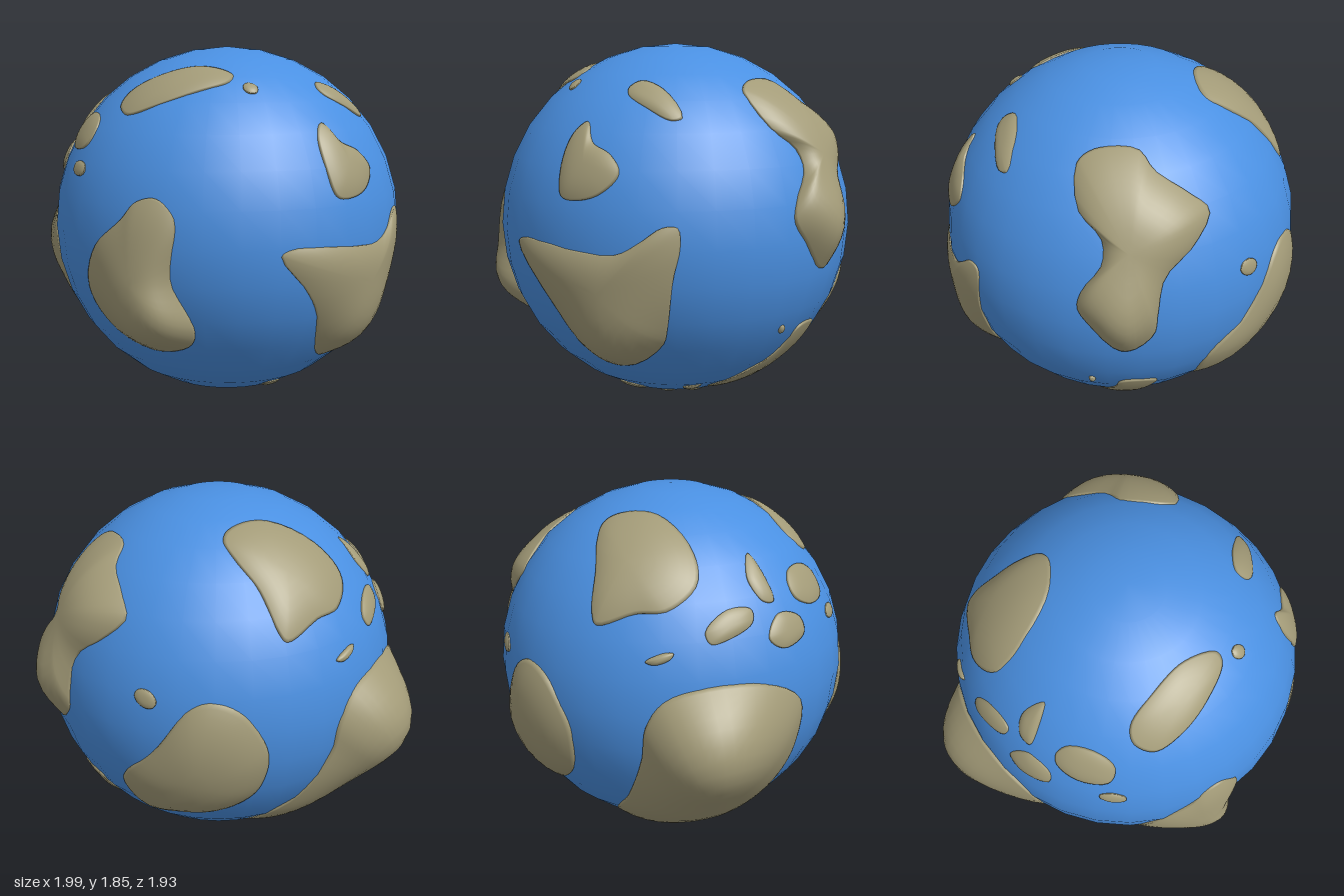
import * as THREE from 'three';

const R = 0.925;
const CENTER = new THREE.Vector3(0.07, 0.93, 0.005);
const V = (x, y, z) => new THREE.Vector3(x, y, z);

// Point on the unit globe seen at (u, v) from a given azimuth and elevation
function fromAngle(az, el, u, v) {
  const a = THREE.MathUtils.degToRad(az), e = THREE.MathUtils.degToRad(el);
  const right = V(Math.cos(a), 0, -Math.sin(a));
  const up = V(-Math.sin(e) * Math.sin(a), Math.cos(e), -Math.sin(e) * Math.cos(a));
  const w = Math.sqrt(Math.max(0, R * R - u * u - v * v));
  const out = V(0, 0, 0).crossVectors(right, up).multiplyScalar(w);
  return out.addScaledVector(right, u).addScaledVector(up, v).normalize();
}

// Ways of placing a flat outline on the globe
const place = {
  front: (x, y) => fromAngle(0, 0, x - CENTER.x, y - CENTER.y),
  right: (z, y) => fromAngle(90, 0, CENTER.z - z, y - CENTER.y),
  top: (x, z) => fromAngle(0, 90, x - CENTER.x, CENTER.z - z),
  back: (u, v) => fromAngle(215, 25, u, v),
  low: (u, v) => fromAngle(145, -25, u, v),
};

function outline(side, p) {
  const dirs = [];
  for (let i = 0; i < p.length; i += 2) dirs.push(place[side](p[i], p[i + 1]));
  return dirs;
}

function oval(side, u, v, ru, rv, turn = 0) {
  const p = [];
  for (let i = 0; i < 8; i++) {
    const a = (i / 8) * Math.PI * 2, x = ru * Math.cos(a), y = rv * Math.sin(a);
    p.push(u + x * Math.cos(turn) - y * Math.sin(turn), v + x * Math.sin(turn) + y * Math.cos(turn));
  }
  return outline(side, p);
}

// Raised land: rings shrinking from the shore to the middle; bumps are [direction, height, spread]
function landGeometry(dirs, height, bumps = []) {
  const n = dirs.length > 8 ? 56 : 28, rings = bumps.length ? 12 : 7;
  const mid = dirs.reduce((s, d) => s.add(d), V(0, 0, 0)).normalize();
  const curve = new THREE.CatmullRomCurve3(dirs, true, 'centripetal');
  const shore = [];
  for (let i = 0; i < n; i++) shore.push(curve.getPoint(i / n).normalize());
  const turn = V(0, 0, 0);
  shore.forEach((p, i) => turn.add(V(0, 0, 0).crossVectors(p, shore[(i + 1) % n])));
  if (turn.dot(mid) < 0) shore.reverse();

  const pos = [], index = [];
  const lift = (d, t) => {
    let h = height;
    for (const [b, a, s] of bumps) h += a * Math.exp(-((d.angleTo(b) / s) ** 2));
    return R + h * (1 - t ** 3);
  };
  const add = (d, r) => pos.push(d.x * r, d.y * r, d.z * r);
  shore.forEach((d) => add(d, R * 0.975));
  for (let k = 0; k < rings; k++) {
    const t = 0.99 * (1 - (k / rings) ** 1.5);
    for (const s of shore) {
      const d = mid.clone().lerp(s, t).normalize();
      add(d, lift(d, t));
    }
  }
  add(mid, lift(mid, 0));
  for (let k = 0; k <= rings; k++) {
    for (let i = 0; i < n; i++) {
      const j = (i + 1) % n, a = k * n + i, b = k * n + j;
      if (k === rings) index.push(a, b, (rings + 1) * n);
      else index.push(a, b, b + n, a, b + n, a + n);
    }
  }
  const g = new THREE.BufferGeometry();
  g.setAttribute('position', new THREE.Float32BufferAttribute(pos, 3));
  g.setIndex(index);
  g.computeVertexNormals();
  return g;
}

export function createModel() {
  const globe = new THREE.Group();
  globe.name = 'globe';
  globe.position.copy(CENTER);
  const water = new THREE.MeshStandardMaterial({ color: 0x4a90e2 });
  const earth = new THREE.MeshStandardMaterial({ color: 0xa39b78 });

  const ocean = new THREE.Mesh(new THREE.SphereGeometry(R, 32, 16), water);
  ocean.name = 'ocean';
  globe.add(ocean);

  const land = (name, dirs, height, bumps) => {
    const m = new THREE.Mesh(landGeometry(dirs, height, bumps), earth);
    m.name = name;
    globe.add(m);
  };
  const bump = (x, y, z, a, s) => [V(x, y, z).normalize(), a, s];

  // Continents
  land('frontContinent', outline('front', [-0.15, 1.16, -0.25, 1.14, -0.33, 1.05, -0.48, 0.9, -0.53, 0.67,
    -0.4, 0.47, -0.18, 0.38, 0, 0.44, 0.02, 0.54, -0.08, 0.78, -0.06, 1.07]), 0.035,
  [bump(-0.24, -0.38, 0.92, 0.1, 0.25)]);
  land('rightContinent', outline('right', [0.86, 0.9, 0.84, 0.93, 0.75, 0.93, 0.6, 0.91, 0.45, 0.91, 0.35, 0.97,
    0.25, 1.04, 0.18, 1.04, 0.17, 0.95, 0.2, 0.8, 0.21, 0.55, 0.22, 0.46, 0.35, 0.31, 0.45, 0.31,
    0.55, 0.38, 0.7, 0.6, 0.78, 0.73]), 0.03, [bump(0.65, -0.45, 0.4, 0.06, 0.25)]);
  land('backRightContinent', outline('right', [-0.2, 1.62, -0.22, 1.66, -0.28, 1.68, -0.4, 1.67, -0.5, 1.6,
    -0.65, 1.5, -0.73, 1.42, -0.74, 1.3, -0.69, 1.18, -0.69, 1.0, -0.68, 0.88, -0.6, 0.78, -0.55, 0.78,
    -0.45, 0.93, -0.39, 1.03, -0.4, 1.12, -0.46, 1.25, -0.43, 1.36, -0.3, 1.46]), 0.04,
  [bump(0.8, 0.03, -0.56, 0.09, 0.22), bump(0.5, 0.5, -0.65, 0.03, 0.25)]);
  land('leftContinent', [V(-0.91, 0.13, -0.02), V(-0.86, 0.155, -0.31), V(-0.77, 0.09, -0.5), V(-0.72, -0.04, -0.57),
    V(-0.68, -0.22, -0.57), V(-0.53, -0.5, -0.57), V(-0.31, -0.7, -0.52), V(-0.2, -0.84, -0.33),
    V(-0.42, -0.82, 0), V(-0.52, -0.76, 0.06), V(-0.67, -0.61, 0.14), V(-0.79, -0.41, 0.2),
    V(-0.87, -0.23, 0.22), V(-0.9, 0, 0.2)].map((d) => d.normalize()), 0.05,
  [bump(-1.07, -0.13, -0.37, 0.18, 0.33)]);
  land('backContinent', outline('back', [-0.38, -0.19, -0.48, -0.21, -0.62, -0.38, -0.72, -0.5, -0.67, -0.61,
    -0.59, -0.7, -0.47, -0.75, -0.32, -0.77, -0.17, -0.7, -0.13, -0.61, -0.13, -0.47, -0.25, -0.27]), 0.045);
  land('topContinent', outline('top', [-0.4, -0.68, -0.36, -0.68, -0.25, -0.6, -0.13, -0.53, -0.05, -0.45,
    -0.06, -0.38, -0.2, -0.25, -0.48, -0.2, -0.6, -0.25, -0.6, -0.41, -0.52, -0.53]), 0.025);

  // Large islands
  land('upperFrontIsland', outline('top', [-0.4, 0.49, -0.36, 0.43, -0.2, 0.415, 0, 0.42, 0.16, 0.49,
    0.15, 0.54, 0, 0.6, -0.2, 0.62, -0.35, 0.58]), 0.015);
  land('upperRightIsland', outline('top', [0.56, 0.33, 0.55, 0.27, 0.64, 0.18, 0.78, 0.12, 0.78, 0.17,
    0.7, 0.27, 0.6, 0.34]), 0.015);
  land('rightIsland', outline('right', [0.53, 1.49, 0.6, 1.43, 0.67, 1.25, 0.67, 1.15, 0.6, 1.14,
    0.5, 1.18, 0.42, 1.27, 0.45, 1.35, 0.52, 1.4]), 0.02);
  land('bottomIsland', outline('low', [-0.16, -0.07, -0.05, -0.1, -0.05, -0.15, -0.08, -0.31, -0.07, -0.52,
    -0.11, -0.645, -0.21, -0.655, -0.3, -0.6, -0.29, -0.43, -0.24, -0.25, -0.235, -0.1]), 0.015);

  // Island chain on the left
  [
    ['front', [-0.66, 1.45, -0.6, 1.51, -0.53, 1.51, -0.52, 1.45, -0.58, 1.36, -0.67, 1.34, -0.69, 1.39]],
    ['back', [0.54, 0.49, 0.63, 0.4, 0.7, 0.28, 0.66, 0.27, 0.58, 0.36]],
    ['back', [0.48, 0.07, 0.54, 0.19, 0.63, 0.22, 0.65, 0.16, 0.58, 0.06, 0.51, 0.02]],
    ['back', [0.73, 0.23, 0.8, 0.24, 0.83, 0.17, 0.78, 0.07, 0.72, 0.1]],
    ['back', [0.25, -0.11, 0.29, -0.12, 0.36, -0.08, 0.37, -0.05, 0.33, -0.055]],
  ].forEach(([side, p], i) => land('leftIsland' + (i + 1), outline(side, p), 0.015));

  // Islets
  [
    ['top', 0.25, 0.555, 0.037, 0.03, 0],
    ['front', -0.6, 1.255, 0.045, 0.035, 0.3],
    ['back', -0.64, -0.125, 0.033, 0.055, 0.5],
    ['low', -0.37, -0.1, 0.015, 0.025, 0.3],
    ['low', -0.385, -0.615, 0.02, 0.035, 0],
    ['low', -0.19, -0.715, 0.065, 0.022, -0.1],
    ['low', -0.24, -0.78, 0.065, 0.022, -0.3],
    ['low', -0.38, -0.79, 0.06, 0.02, -0.3],
  ].forEach(([side, ...o], i) => land('islet' + (i + 1), oval(side, ...o), 0.01));

  const model = new THREE.Group();
  model.name = 'planet';
  model.add(globe);
  return model;
}
